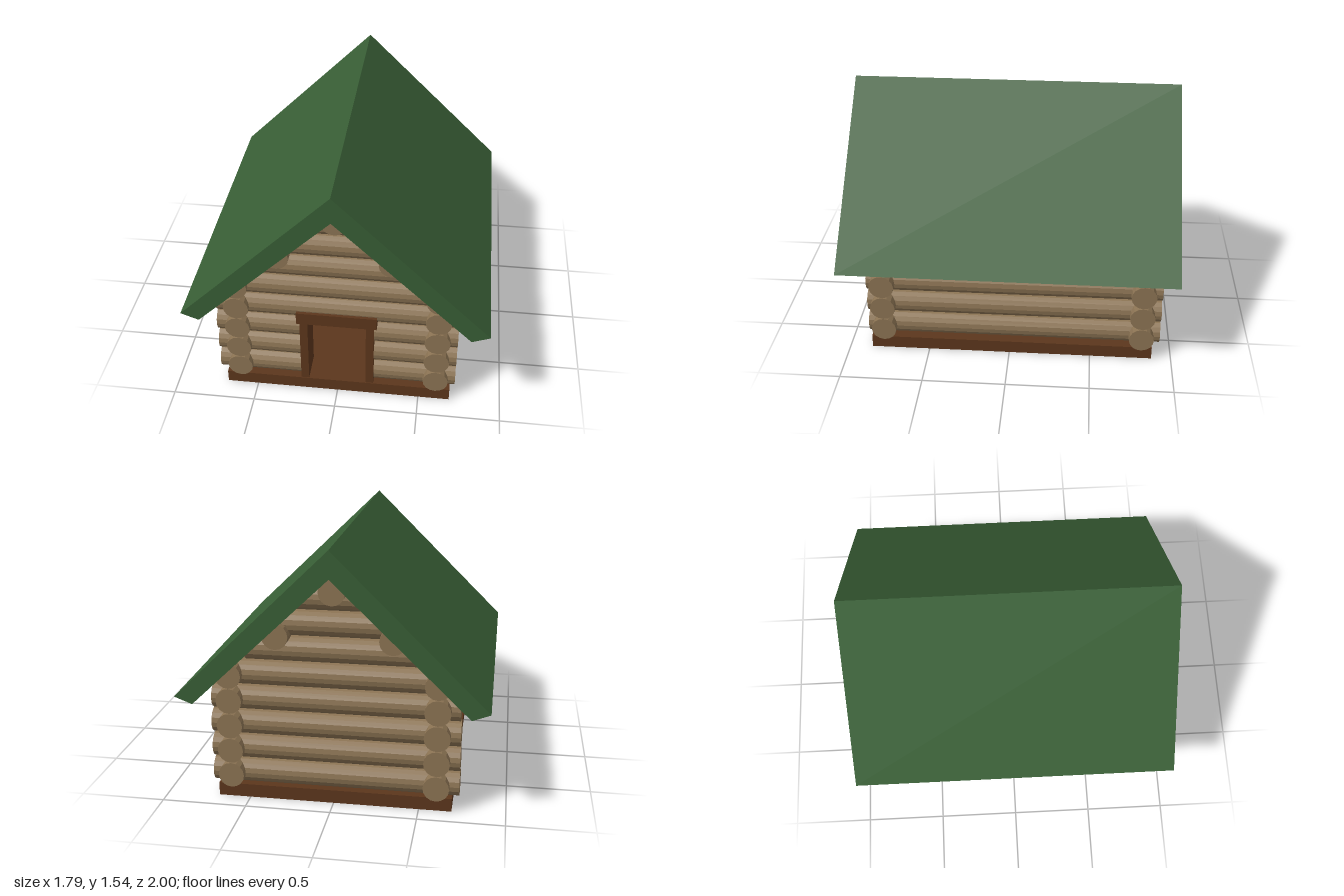
import * as THREE from 'three';

const R = 0.076;                        // log radius
const ROW = 0.154;                      // height of one course of logs
const rowY = (i) => 0.156 + i * ROW;
const FRONT = 0.775, BACK = -0.81;      // z of the gable walls
const Z0 = -0.925, Z1 = 0.877;          // ends of the lengthwise logs

const wood = new THREE.MeshStandardMaterial({ color: 0x8b7353, flatShading: true });
const trim = new THREE.MeshStandardMaterial({ color: 0x5c361c, flatShading: true });
const green = new THREE.MeshStandardMaterial({ color: 0x385e35, flatShading: true });

export function createModel() {
  const cabin = new THREE.Group();
  cabin.name = 'logCabin';

  const subgroup = (name) => {
    const g = new THREE.Group();
    g.name = name;
    cabin.add(g);
    return g;
  };

  // Log between a and b along the x or z axis
  const log = (parent, name, axis, a, b, y, across) => {
    const geo = new THREE.CylinderGeometry(R, R, b - a, 16);
    const mid = (a + b) / 2;
    if (axis === 'x') geo.rotateZ(Math.PI / 2).translate(mid, y, across);
    else geo.rotateX(Math.PI / 2).translate(across, y, mid);
    const mesh = new THREE.Mesh(geo, wood);
    mesh.name = name;
    parent.add(mesh);
  };

  const box = (parent, name, x0, x1, y0, y1, z0, z1) => {
    const geo = new THREE.BoxGeometry(x1 - x0, y1 - y0, z1 - z0);
    geo.translate((x0 + x1) / 2, (y0 + y1) / 2, (z0 + z1) / 2);
    const mesh = new THREE.Mesh(geo, trim);
    mesh.name = name;
    parent.add(mesh);
  };

  // Floor slab
  box(cabin, 'floor', -0.69, 0.69, 0, 0.08, -0.88, 0.86);

  // Side walls: five courses of lengthwise logs
  for (const [name, x] of [['leftWall', 0.6], ['rightWall', -0.6]]) {
    const wall = subgroup(name);
    for (let i = 0; i < 5; i++) log(wall, 'sideLog', 'z', Z0, Z1, rowY(i), x);
  }

  // Gable walls: logs shorten towards the ridge; the front leaves a doorway
  const halfLengths = [0.725, 0.725, 0.725, 0.72, 0.645, 0.515, 0.37, 0.22];
  for (const [name, z] of [['frontWall', FRONT], ['backWall', BACK]]) {
    const wall = subgroup(name);
    halfLengths.forEach((h, i) => {
      if (z === FRONT && i < 3) {
        log(wall, 'doorSideLog', 'x', -h - 0.006, -0.2, rowY(i), z);
        log(wall, 'doorSideLog', 'x', 0.2, h - 0.006, rowY(i), z);
      } else {
        log(wall, 'gableLog', 'x', -h - 0.006, h - 0.006, rowY(i), z);
      }
    });
  }

  // Roof beams
  const beams = subgroup('roofBeams');
  log(beams, 'ridgeBeam', 'z', Z0, Z1, 1.287, -0.005);
  log(beams, 'leftPurlin', 'z', Z0, Z1, 1.02, 0.32);
  log(beams, 'rightPurlin', 'z', Z0, Z1, 1.02, -0.345);

  // Door frame
  const frame = subgroup('doorFrame');
  box(frame, 'rightJamb', -0.225, -0.177, 0.08, 0.53, 0.67, 0.855);
  box(frame, 'leftJamb', 0.173, 0.221, 0.08, 0.53, 0.67, 0.855);
  box(frame, 'lintel', -0.242, 0.238, 0.53, 0.61, 0.66, 0.868);

  // Gabled roof, one extruded chevron
  const profile = new THREE.Shape([
    [-0.895, 0.66], [-0.79, 0.62], [-0.005, 1.38],
    [0.79, 0.62], [0.895, 0.66], [-0.005, 1.54],
  ].map(([x, y]) => new THREE.Vector2(x, y)));
  const roofGeo = new THREE.ExtrudeGeometry(profile, { depth: 2, bevelEnabled: false });
  roofGeo.translate(0, 0, -1);
  const roof = new THREE.Mesh(roofGeo, green);
  roof.name = 'roof';
  cabin.add(roof);

  return cabin;
}
